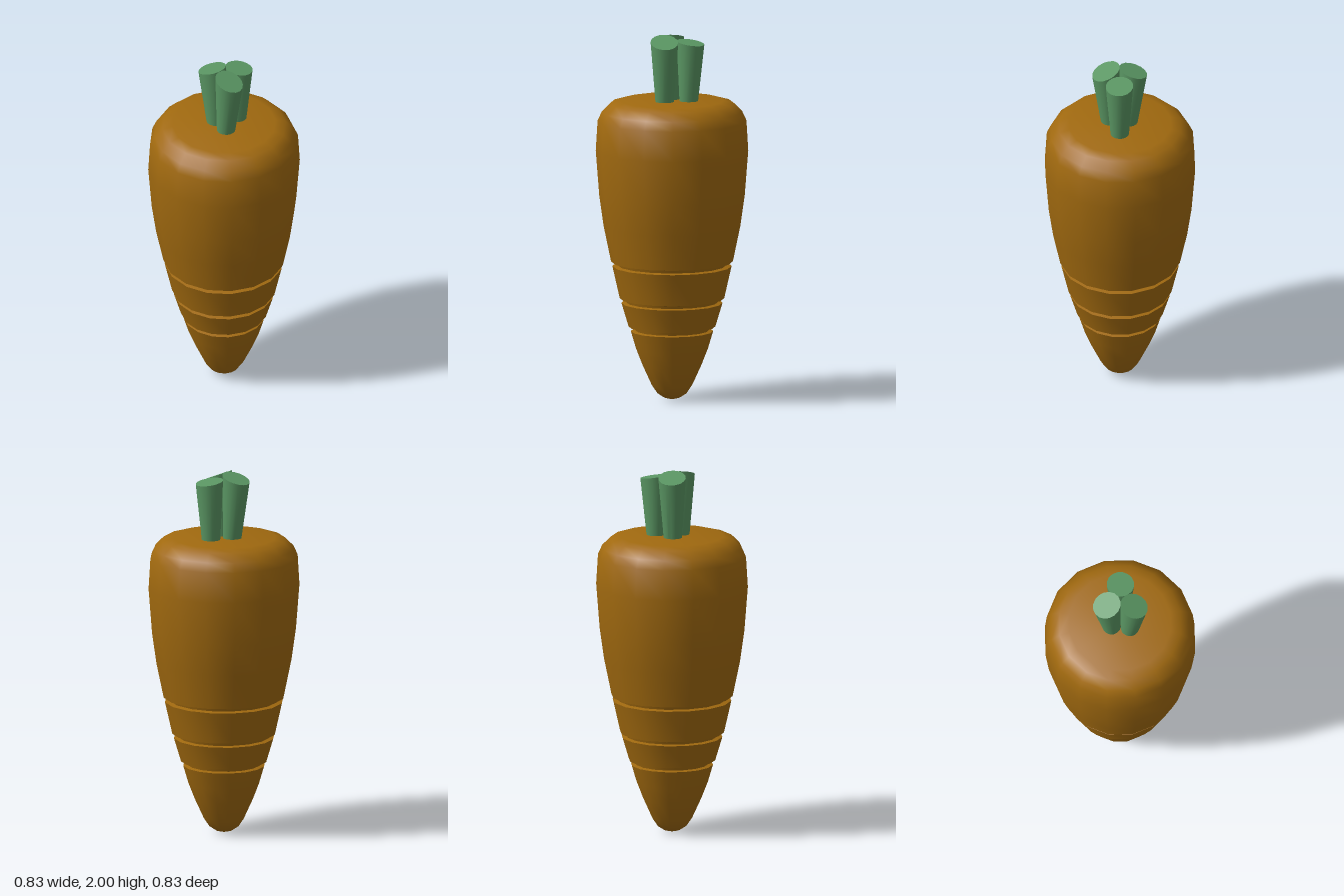
import * as THREE from 'three';
import { toCreasedNormals } from 'three/addons/utils/BufferGeometryUtils.js';

const SIDES = 16;

// Root outline as [radius, height], tip to crown, with three cut grooves
const ROOT_PROFILE = [
  [0, 0], [0.045, 0.012], [0.08, 0.035], [0.11, 0.08], [0.16, 0.19], [0.195, 0.28], [0.223, 0.375],
  [0.2, 0.38], [0.205, 0.396], [0.235, 0.4], [0.274, 0.53],
  [0.25, 0.535], [0.255, 0.55], [0.283, 0.555], [0.323, 0.732],
  [0.295, 0.737], [0.3, 0.752], [0.33, 0.757],
  [0.37, 0.95], [0.394, 1.12], [0.413, 1.365], [0.403, 1.53],
  [0.38, 1.58], [0.335, 1.625], [0.28, 1.64], [0, 1.64],
];

// Stalks: centre at the crown, centre at the cut, cut height and slant of the cut
const STALKS = [
  { name: 'rightStalk', base: [-0.047, 0.01], top: [-0.075, 0.008], height: 1.974, slant: [0.34, 0] },
  { name: 'leftStalk', base: [0.045, 0.04], top: [0.069, 0.042], height: 1.968, slant: [-0.4, 0.03] },
  { name: 'backStalk', base: [0.02, -0.09], top: [0.024, -0.1], height: 1.96, slant: [-0.08, 0.14] },
];
const STALK_FOOT = 1.62;

// Tapered cylinder whose ends are moved to the two centres, with a slanted cut on top
function stalkGeometry({ base, top, height, slant }) {
  const geometry = new THREE.CylinderGeometry(0.075, 0.049, 1, SIDES);
  const p = geometry.attributes.position;
  for (let i = 0; i < p.count; i++) {
    const isTop = p.getY(i) > 0;
    const [cx, cz] = isTop ? top : base;
    const x = p.getX(i), z = p.getZ(i);
    const y = isTop ? height + x * slant[0] + z * slant[1] : STALK_FOOT;
    p.setXYZ(i, x + cx, y, z + cz);
  }
  return toCreasedNormals(geometry, 0.7);
}

export function createModel() {
  const model = new THREE.Group();
  model.name = 'carrot';

  // Root body
  const points = ROOT_PROFILE.map(([r, y]) => new THREE.Vector2(r, y));
  const root = new THREE.Mesh(
    toCreasedNormals(new THREE.LatheGeometry(points, SIDES), 0.75),
    new THREE.MeshStandardMaterial({ color: 0xa0690f }),
  );
  root.name = 'root';
  model.add(root);

  // Cut stalks
  const green = new THREE.MeshStandardMaterial({ color: 0x5a9663 });
  for (const spec of STALKS) {
    const stalk = new THREE.Mesh(stalkGeometry(spec), green);
    stalk.name = spec.name;
    model.add(stalk);
  }
  return model;
}
